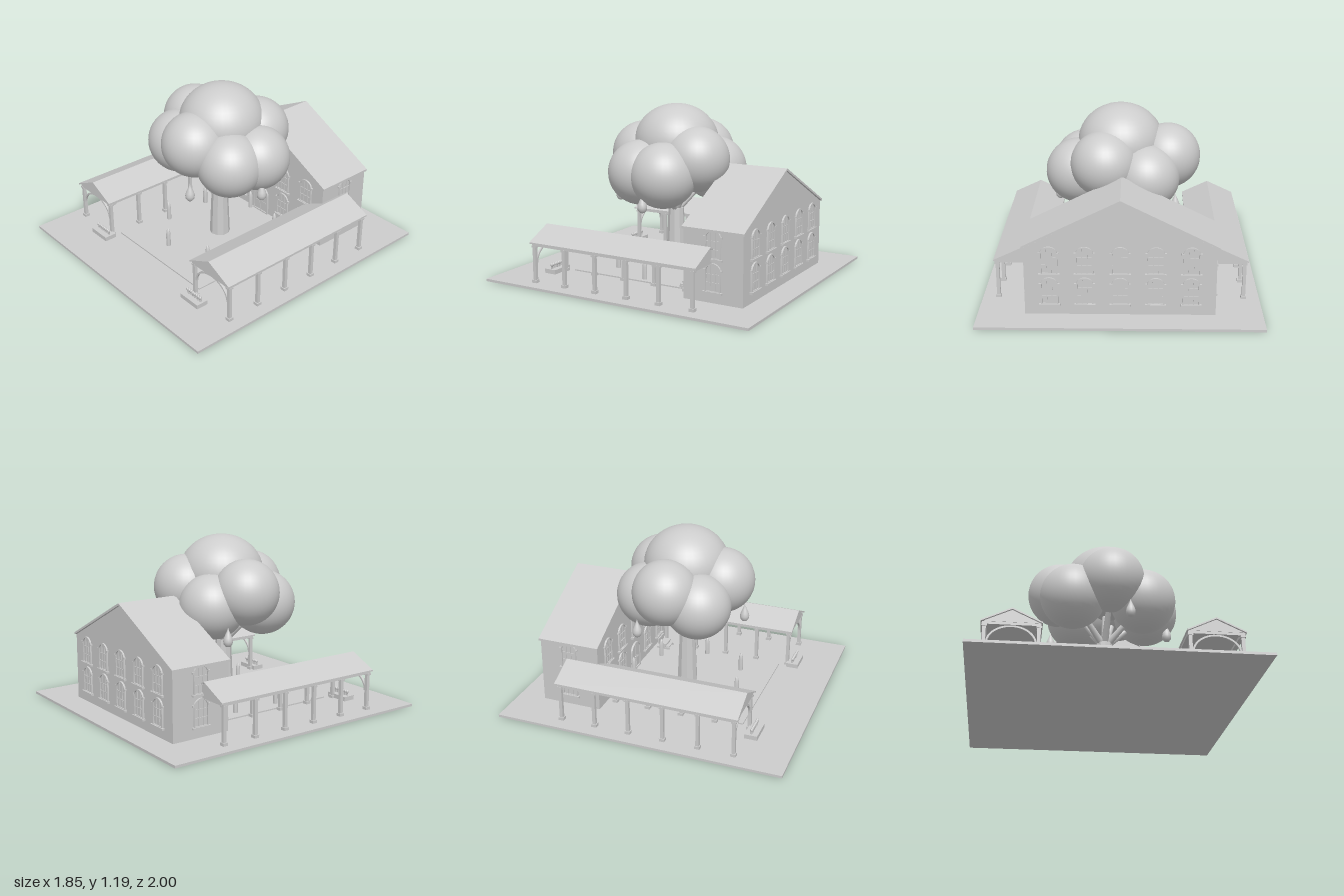
import * as THREE from 'three';
import { toCreasedNormals } from 'three/addons/utils/BufferGeometryUtils.js';

const plainGrey = new THREE.MeshStandardMaterial({ color: 0xcccccc });
plainGrey.name = 'plainGrey';
const GROUND = 0.017;
const FLOOR = 0.026;

function add(parent, name, geometry, x = 0, y = 0, z = 0) {
  const mesh = new THREE.Mesh(geometry, plainGrey);
  mesh.name = name;
  mesh.position.set(x, y, z);
  parent.add(mesh);
  return mesh;
}

function group(parent, name, x = 0, y = 0, z = 0) {
  const g = new THREE.Group();
  g.name = name;
  g.position.set(x, y, z);
  parent.add(g);
  return g;
}

// Box given by its centre in x and z and by its bottom and top
function box(parent, name, w, d, y0, y1, x = 0, z = 0) {
  return add(parent, name, new THREE.BoxGeometry(w, y1 - y0, d), x, (y0 + y1) / 2, z);
}

function extrude(shape, depth) {
  const g = new THREE.ExtrudeGeometry(shape, { depth, bevelEnabled: false, curveSegments: 16 });
  return toCreasedNormals(g, 0.5);
}

function polygon(points) {
  return new THREE.Shape(points.map(([x, y]) => new THREE.Vector2(x, y)));
}

// Outline with straight sides and an elliptical top, standing on y0
function archPath(path, half, y0, spring, rise) {
  path.moveTo(-half, y0);
  path.lineTo(half, y0);
  path.lineTo(half, spring);
  path.absellipse(0, spring, half, rise, 0, Math.PI, false);
  path.lineTo(-half, y0);
  return path;
}

function archFrame(half, spring, rise, width, depth, y0 = 0) {
  const shape = archPath(new THREE.Shape(), half, y0, spring, rise);
  shape.holes.push(archPath(new THREE.Path(), half - width, y0 + width, spring, rise - width));
  return extrude(shape, depth);
}

// Window with its outer face towards +z
function addWindow(parent, x, y, z, turn = 0) {
  const w = group(parent, 'window', x, y, z);
  w.rotation.y = turn;
  add(w, 'windowFrame', archFrame(0.056, 0.14, 0.05, 0.009, 0.012));
  add(w, 'windowPane', extrude(archPath(new THREE.Shape(), 0.05, 0.005, 0.14, 0.044), 0.003));
  for (const mx of [-0.017, 0.017]) box(w, 'mullion', 0.005, 0.008, 0.008, 0.18, mx, 0.004);
  for (const my of [0.06, 0.115]) box(w, 'glazingBar', 0.094, 0.008, my, my + 0.005, 0, 0.004);
  box(w, 'windowSill', 0.136, 0.022, -0.008, 0.006, 0, 0.009);
  for (const s of [-1, 1]) box(w, 'impost', 0.017, 0.014, 0.138, 0.15, s * 0.058, 0.007);
}

function addHouse(parent) {
  const house = group(parent, 'house');
  const front = -0.385, back = -0.81;
  // Walls with their gables
  add(house, 'walls', extrude(polygon([[-0.615, GROUND], [0.615, GROUND], [0.615, 0.48], [0, 0.787], [-0.615, 0.48]]),
    front - back), 0, 0, back);
  // Roof as one folded slab
  add(house, 'roof', extrude(polygon([[-0.628, 0.478], [0, 0.79], [0.628, 0.478], [0.628, 0.493], [0, 0.806], [-0.628, 0.493]]),
    0.442), 0, 0, -0.82);
  for (const y of [0.088, 0.302]) {
    for (let i = -2; i <= 2; i++) {
      addWindow(house, i * 0.227, y, back, Math.PI);
      if (i !== 0 || y > 0.2) addWindow(house, i * 0.227, y, front);
    }
    for (const s of [-1, 1]) addWindow(house, s * 0.615, y, -0.6, s * Math.PI / 2);
  }
  // Double door
  const door = group(house, 'door', 0, FLOOR, front);
  add(door, 'doorFrame', archFrame(0.075, 0.155, 0.06, 0.01, 0.014));
  add(door, 'doorLeaves', extrude(archPath(new THREE.Shape(), 0.068, 0, 0.155, 0.053), 0.006));
  box(door, 'doorSplit', 0.005, 0.01, 0.005, 0.205, 0, 0.005);
  for (const s of [-1, 1]) {
    box(door, 'doorPanel', 0.04, 0.008, 0.02, 0.085, s * 0.033, 0.005);
    add(door, 'doorKnob', new THREE.SphereGeometry(0.006, 10, 8), s * 0.012, 0.1, 0.01);
  }
}

// Covered walk on one side of the courtyard
function addWalk(parent, side) {
  const walk = group(parent, 'coveredWalk', side * 0.648, 0, 0);
  const zFront = 0.68, zBack = -0.6, length = zFront - zBack;
  add(walk, 'walkGable', extrude(polygon([[-0.18, 0.292], [0.18, 0.292], [0, 0.376]]), length - 0.02), 0, 0, zBack + 0.01);
  add(walk, 'walkRoof', extrude(polygon([[-0.193, 0.288], [0, 0.378], [0.193, 0.288], [0.193, 0.298], [0, 0.389], [-0.193, 0.298]]),
    length), 0, 0, zBack);
  for (const s of [-1, 1]) box(walk, 'walkBeam', 0.03, length - 0.03, 0.274, 0.294, s * 0.17, 0.04);
  for (const z of [0.655, -0.575]) box(walk, 'crossBeam', 0.34, 0.025, 0.274, 0.294, 0, z);
  for (let i = 0; i < 6; i++) {
    for (const s of [-1, 1]) {
      const post = group(walk, 'column', s * 0.17, 0, 0.652 - i * 0.244);
      box(post, 'columnBase', 0.036, 0.036, GROUND, 0.037);
      box(post, 'columnShaft', 0.023, 0.023, 0.037, 0.262);
      box(post, 'columnCap', 0.034, 0.034, 0.262, 0.275);
    }
  }
  // Thin curved arch between the front columns
  const arch = new THREE.Shape();
  arch.absellipse(0, 0.15, 0.16, 0.125, 0, Math.PI, false);
  arch.absellipse(0, 0.15, 0.148, 0.113, Math.PI, 0, true);
  add(walk, 'frontArch', extrude(arch, 0.014), 0, 0, 0.645);
}

function addTree(parent) {
  const tree = group(parent, 'tree', 0, 0, 0.03);
  const trunk = new THREE.CylinderGeometry(0.055, 0.074, 0.44, 10);
  add(tree, 'trunk', toCreasedNormals(trunk, 0.4), 0, 0.236, 0);
  // Crown: x, y, z, radius, height of each leafy ball
  const crown = [
    [0.01, 0.93, -0.01, 0.295, 0.265],
    [0.025, 0.835, 0.245, 0.227, 0.225],
    [-0.315, 0.835, -0.04, 0.225, 0.225],
    [0.12, 0.835, -0.23, 0.228, 0.225],
    [-0.235, 0.735, 0.16, 0.228, 0.225],
    [0.255, 0.735, 0.13, 0.228, 0.225],
    [0.298, 0.735, -0.075, 0.228, 0.225],
    [-0.165, 0.735, -0.215, 0.228, 0.225],
  ];
  const up = new THREE.Vector3(0, 1, 0);
  for (const [x, y, z, r, h] of crown) {
    add(tree, 'foliage', new THREE.SphereGeometry(r, 36, 24), x, y, z).scale.y = h / r;
    const from = new THREE.Vector3(0, 0.43, 0);
    const way = new THREE.Vector3(x * 0.8, y - 0.08, z * 0.8).sub(from);
    const middle = from.clone().addScaledVector(way, 0.5);
    const branch = add(tree, 'branch', new THREE.CylinderGeometry(0.016, 0.026, way.length(), 8), middle.x, middle.y, middle.z);
    branch.quaternion.setFromUnitVectors(up, way.normalize());
  }
  // Hanging drops
  const profile = [[0, 0], [0.018, 0.006], [0.03, 0.022], [0.033, 0.042], [0.028, 0.065], [0.016, 0.092], [0.006, 0.115], [0, 0.135]];
  const drop = new THREE.LatheGeometry(profile.map(([x, y]) => new THREE.Vector2(x, y)), 20);
  for (const [x, z] of [[0.135, 0.38], [0.44, 0.005], [-0.365, -0.23]]) add(tree, 'hangingDrop', drop, x, 0.492, z);
  // Ring of pointed markers around the trunk
  const outline = [[0, 0], [0.016, 0], [0.016, 0.09], [0.013, 0.115], [0.007, 0.133], [0, 0.142]];
  const marker = toCreasedNormals(new THREE.LatheGeometry(outline.map(([x, y]) => new THREE.Vector2(x, y)), 16), 0.7);
  for (let i = 0; i < 7; i++) {
    const a = i * Math.PI * 2 / 7;
    add(tree, 'pointedMarker', marker, 0.405 * Math.cos(a), FLOOR - 0.002, 0.01 + 0.405 * Math.sin(a));
  }
}

// Low block with a row of small candles
function addCandles(parent, x) {
  const stand = group(parent, 'candleStand', x, 0, 0.698);
  box(stand, 'standBlock', 0.172, 0.088, GROUND, 0.048);
  const flame = new THREE.SphereGeometry(0.01, 10, 8);
  for (let i = 0; i < 8; i++) {
    const cx = (i - 3.5) * 0.0187;
    add(stand, 'candle', new THREE.CylinderGeometry(0.006, 0.006, 0.02, 8), cx, 0.057, 0);
    add(stand, 'flame', flame, cx, 0.076, 0).scale.y = 1.3;
  }
}

function addBench(parent, x) {
  const bench = group(parent, 'bench', x, 0, -0.31);
  box(bench, 'benchSeat', 0.1, 0.065, 0.062, 0.072, 0, 0);
  box(bench, 'benchBack', 0.1, 0.01, 0.072, 0.11, 0, -0.03);
  box(bench, 'footRest', 0.08, 0.025, 0.04, 0.048, 0, 0.04);
  for (const s of [-1, 1]) {
    box(bench, 'benchSide', 0.01, 0.1, FLOOR, 0.04, s * 0.04, 0.005);
    box(bench, 'benchLeg', 0.01, 0.05, 0.04, 0.062, s * 0.04, 0);
  }
}

export function createModel() {
  const model = new THREE.Group();
  model.name = 'courtyardWithTree';
  box(model, 'ground', 1.846, 2, 0, GROUND);
  box(model, 'courtyardFloor', 0.9, 0.985, GROUND, FLOOR, 0, 0.105);
  addHouse(model);
  addTree(model);
  for (const side of [-1, 1]) {
    addWalk(model, side);
    addCandles(model, side * 0.518);
    addBench(model, side * 0.4);
  }
  return model;
}
